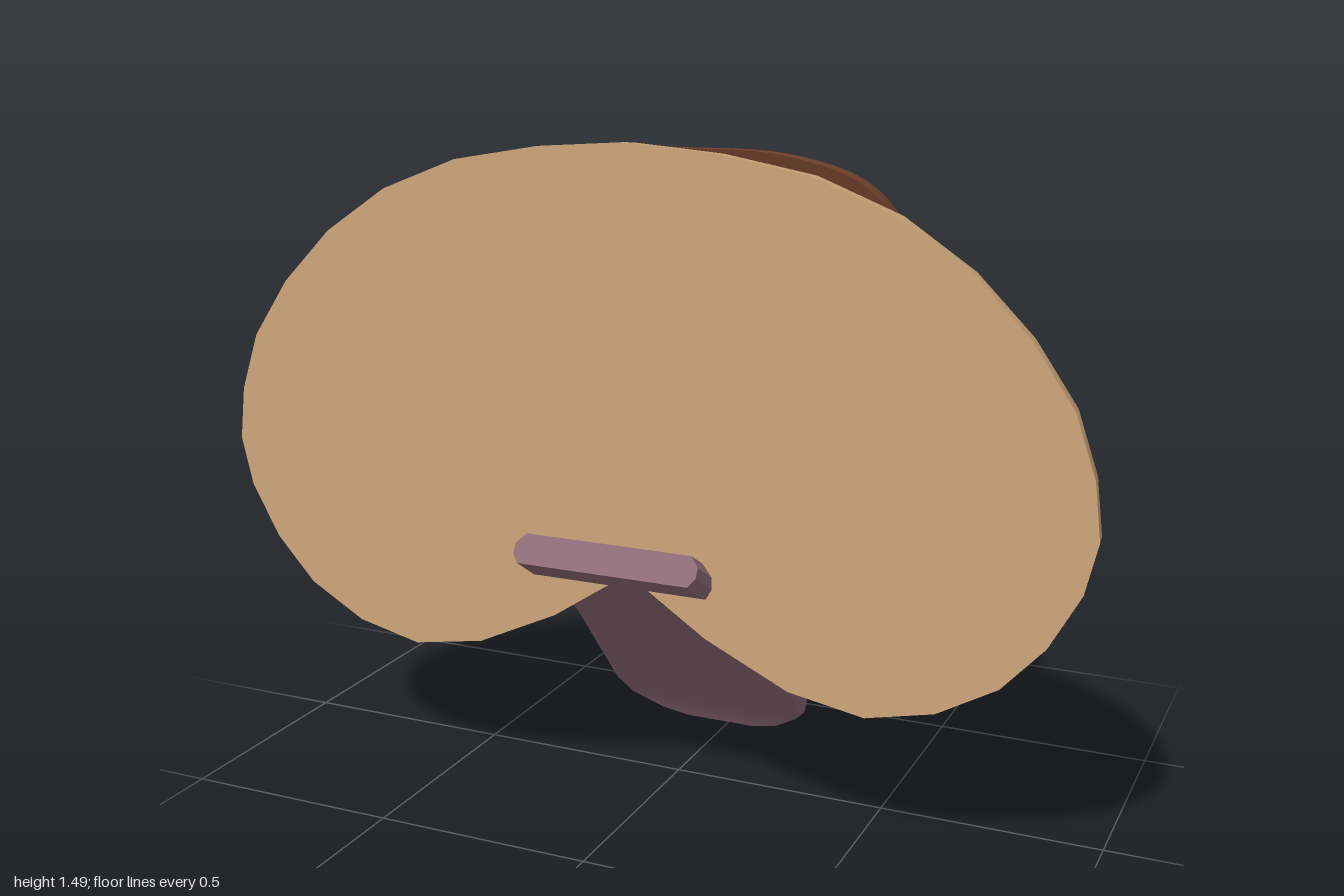
import * as THREE from 'three';
import { toCreasedNormals } from 'three/addons/utils/BufferGeometryUtils.js';

const V = (x, y, z) => new THREE.Vector3(x, y, z);
const mix = THREE.MathUtils.lerp;

// Joins closed rings of equal length, with optional fan caps at both ends
function loft(rings, capStart, capEnd, crease) {
  const n = rings[0].length, last = rings.length - 1;
  const points = rings.flat(), index = [];
  for (let i = 0; i < last; i++) {
    for (let j = 0; j < n; j++) {
      const k = (j + 1) % n;
      const a = i * n + j, b = i * n + k, c = a + n, d = b + n;
      index.push(a, b, c, b, d, c);
    }
  }
  const cap = (r, flip) => {
    const mid = V(0, 0, 0);
    rings[r].forEach((p) => mid.addScaledVector(p, 1 / n));
    const m = points.push(mid) - 1;
    for (let j = 0; j < n; j++) {
      const a = r * n + j, b = r * n + (j + 1) % n;
      if (flip) index.push(m, b, a); else index.push(m, a, b);
    }
  };
  if (capStart) cap(0, true);
  if (capEnd) cap(last, false);
  const g = new THREE.BufferGeometry().setFromPoints(points);
  g.setIndex(index);
  return toCreasedNormals(g, crease);
}

// Completes a half outline (top to bottom on +x) by mirroring it
const mirrored = (half) => [
  ...half.map((p) => V(...p)),
  ...half.slice(1, -1).reverse().map(([x, y, z]) => V(-x, y, z)),
];

// Rounds a rim over to a ridge line given for each rim point
function dome(rim, ridge, steps) {
  const rings = [];
  for (let i = 0; i <= steps; i++) {
    const a = (i / steps) * Math.PI / 2;
    rings.push(rim.map((p) => {
      const q = ridge(p), t = 1 - Math.cos(a);
      return V(mix(p.x, q.x, t), mix(p.y, q.y, t), mix(p.z, q.z, Math.sin(a)));
    }));
  }
  return rings;
}

// Kidney-shaped muzzle with a flat face and two cheeks
function muzzleGeometry() {
  const half = [
    [0, 1.5], [0.2, 1.485], [0.4, 1.45], [0.58, 1.38], [0.73, 1.28], [0.85, 1.16],
    [0.94, 1.03], [0.985, 0.9], [1, 0.78], [0.975, 0.67], [0.91, 0.55], [0.82, 0.45],
    [0.69, 0.375], [0.54, 0.34], [0.37, 0.37], [0.18, 0.46], [0, 0.58],
  ].map(([x, y]) => [x, y, 0.27]);
  const ridge = (p) => V(0.42 * p.x, 0.95 - 0.15 * p.x ** 2, -0.1 + 0.04 * p.x ** 2);
  return loft(dome(mirrored(half), ridge, 12), true, false, 0.75);
}

// Nose pad with two wedge-shaped nostrils
function noseGeometry() {
  const half = [
    [0, 1.475, 0.1], [0.25, 1.47, 0.1], [0.42, 1.42, 0.09], [0.495, 1.34, 0.07],
    [0.5, 1.25, 0.04], [0.43, 1.14, 0], [0.33, 1.02, -0.05], [0.2, 0.92, -0.09],
    [0.08, 0.845, -0.1], [0, 0.82, -0.1],
  ];
  const rim = new THREE.CatmullRomCurve3(mirrored(half), true).getPoints(120).slice(0, -1);
  const ridge = (p) => {
    const d = p.y - 1.27;
    const y = 1.27 + d * (d > 0 ? 0.2 : 0.7);
    return V(0.3 * p.x, y, -0.2 + 0.35 * Math.min(0, y - 1.27) ** 2);
  };
  const rings = dome(rim, ridge, 24);
  // fill the middle of the pad
  for (const s of [0.66, 0.33, 0]) {
    rings.push(rim.map((p) => {
      const q = ridge(p);
      q.x *= s;
      return q;
    }));
  }
  // press the nostrils in, widening outward
  const ax = 0.11, ay = 1.22, dx = 0.16, dy = -0.24;
  for (const p of rings.flat()) {
    const x = Math.abs(p.x);
    const t = THREE.MathUtils.clamp(((x - ax) * dx + (p.y - ay) * dy) / (dx * dx + dy * dy), 0, 1);
    const dist = Math.hypot(x - ax - dx * t, p.y - ay - dy * t);
    const w = 0.018 + 0.03 * t;
    p.z += 0.06 * (1 - THREE.MathUtils.smoothstep(dist, w, w + 0.015));
  }
  return loft(rings, true, false, 0.6);
}

// Bent slab with bevelled edges and a shallow groove on top
function tongueGeometry() {
  // z, y, half width along the middle
  const path = [
    [0.337, 0.63, 0.215], [0.2, 0.545, 0.225], [0.04, 0.44, 0.24], [-0.02, 0.395, 0.25],
    [-0.12, 0.285, 0.255], [-0.24, 0.145, 0.255], [-0.29, 0.09, 0.235],
    [-0.325, 0.045, 0.17], [-0.337, 0.027, 0.1],
  ];
  const h = 0.034;
  const rings = path.map(([z, y, w], i) => {
    const a = path[Math.max(i - 1, 0)], b = path[Math.min(i + 1, path.length - 1)];
    const len = Math.hypot(b[0] - a[0], b[1] - a[1]);
    const nz = (b[1] - a[1]) / len, ny = -(b[0] - a[0]) / len;
    const dip = i > 1 && i < 7 ? 0.012 : 0;
    const section = [
      [-w, 0.3 * h], [-w + 0.02, h], [-0.07, h], [0, h - dip], [0.07, h], [w - 0.02, h],
      [w, 0.3 * h], [w, -0.4 * h], [w - 0.015, -h], [-w + 0.015, -h], [-w, -0.4 * h],
    ];
    return section.map(([x, n]) => V(x, y + n * ny, z + n * nz));
  });
  return loft(rings, true, true, 0.5);
}

export function createModel() {
  const group = new THREE.Group();
  group.name = 'muzzle';
  const add = (name, geometry, color, x) => {
    const mesh = new THREE.Mesh(geometry, new THREE.MeshStandardMaterial({ color, side: THREE.DoubleSide }));
    mesh.name = name;
    mesh.position.x = x;
    group.add(mesh);
    return mesh;
  };
  add('snout', muzzleGeometry(), 0xcda67a, 0);
  add('nose', noseGeometry(), 0x70422b, 0.022);
  add('tongue', tongueGeometry(), 0x906c78, -0.024);
  return group;
}
